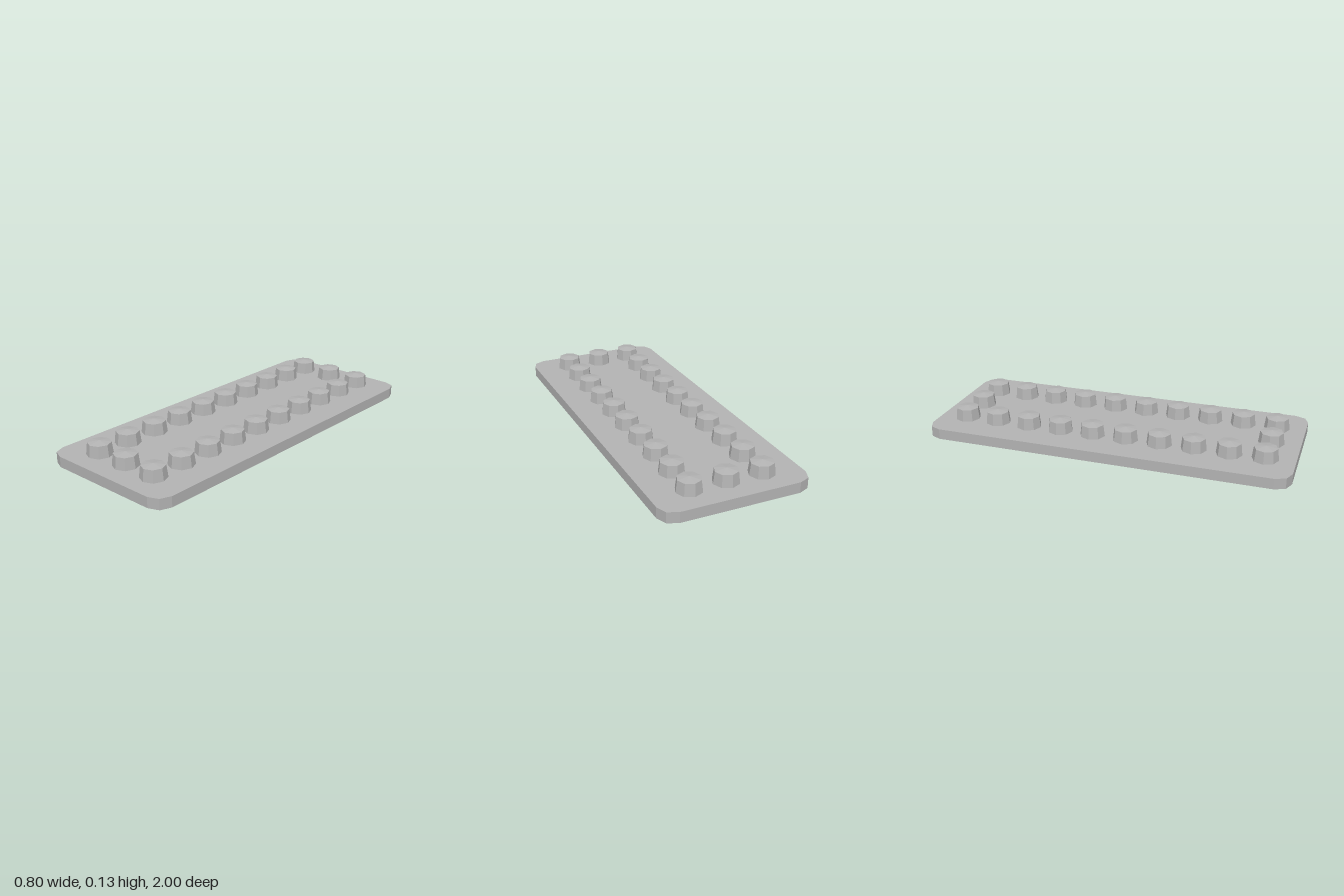
import * as THREE from 'three';

export function createModel() {
  const model = new THREE.Group();
  const grey = new THREE.MeshStandardMaterial({ color: 0xb2b2b2, flatShading: true });
  grey.name = 'grey';

  // Base plate with faceted corners
  const plateHeight = 0.058;
  const quarter = [[0.4, 0.92], [0.377, 0.977], [0.32, 1]];
  const flipped = [...quarter].reverse();
  const outline = [
    ...quarter,
    ...flipped.map(([x, z]) => [-x, z]),
    ...quarter.map(([x, z]) => [-x, -z]),
    ...flipped.map(([x, z]) => [x, -z]),
  ].map(([x, z]) => new THREE.Vector2(x, z));
  const plateGeometry = new THREE.ExtrudeGeometry(new THREE.Shape(outline), {
    depth: plateHeight, bevelEnabled: false,
  });
  plateGeometry.rotateX(-Math.PI / 2);
  const plate = new THREE.Mesh(plateGeometry, grey);
  plate.name = 'basePlate';
  model.add(plate);

  // Tapered eight-sided stud with a shallow pointed cap
  const studGeometry = new THREE.LatheGeometry([
    new THREE.Vector2(0.07, 0),
    new THREE.Vector2(0.062, 0.065),
    new THREE.Vector2(0, 0.075),
  ], 8);
  const addStud = (x, z) => {
    const stud = new THREE.Mesh(studGeometry, grey);
    stud.name = 'stud';
    stud.position.set(x, plateHeight, z);
    model.add(stud);
  };

  // Two long rows, plus one stud in the middle of each end
  const rowCount = 10, endZ = 0.843;
  for (let i = 0; i < rowCount; i++) {
    const z = -endZ + (2 * endZ * i) / (rowCount - 1);
    for (const side of [-1, 1]) addStud(side * 0.197, z);
  }
  for (const end of [-1, 1]) addStud(0, end * endZ);

  return model;
}
